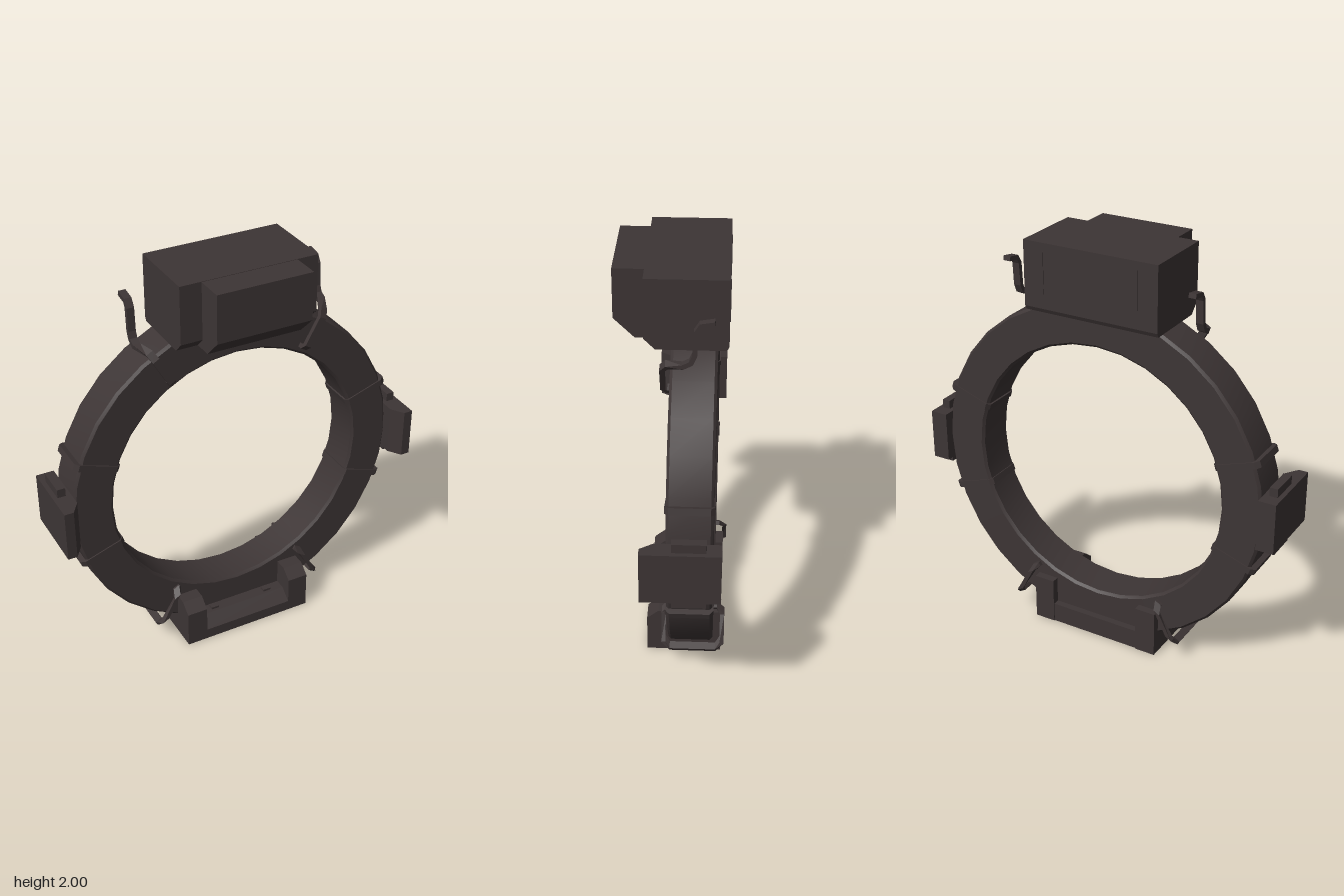
import * as THREE from 'three';
import { toCreasedNormals } from 'three/addons/utils/BufferGeometryUtils.js';

const CY = 0.885; // height of the ring centre
const RING_Z = -0.1; // middle of the ring's depth

export function createModel() {
  const model = new THREE.Group();
  model.name = 'ringFrame';
  const darkMetal = new THREE.MeshStandardMaterial({ color: 0x3d3535 });
  darkMetal.name = 'darkMetal';

  const add = (name, geometry) => {
    const mesh = new THREE.Mesh(geometry, darkMetal);
    mesh.name = name;
    model.add(mesh);
    return mesh;
  };
  const extrude = (pts, depth) => new THREE.ExtrudeGeometry(
    new THREE.Shape(pts.map(([a, b]) => new THREE.Vector2(a, b))),
    { depth, bevelEnabled: false }).translate(0, 0, -depth / 2);
  // side profile of [z, y] points, extruded across x
  const sideProfile = (name, pts, width, x = 0) =>
    add(name, extrude(pts, width).rotateY(-Math.PI / 2).translate(x, 0, 0));
  // plan outline of [x, z] points, extruded upwards
  const plan = (name, pts, height, y) =>
    add(name, extrude(pts.map(([x, z]) => [x, -z]), height).rotateX(-Math.PI / 2).translate(0, y, 0));
  const box = (name, w, h, d, x, y, z) =>
    add(name, new THREE.BoxGeometry(w, h, d).translate(x, y, z));

  // main ring with small bevels on its rims
  const b = 0.012, ri = 0.65, ro = 0.85, hz = 0.102;
  const section = [
    [ri + b, -hz], [ro - b, -hz], [ro, -hz + b], [ro, hz - b],
    [ro - b, hz], [ri + b, hz], [ri, hz - b], [ri, -hz + b], [ri + b, -hz],
  ].map(([r, z]) => new THREE.Vector2(r, z));
  add('ring', toCreasedNormals(
    new THREE.LatheGeometry(section, 32).rotateX(Math.PI / 2).translate(0, CY, RING_Z), 0.5));

  // top housing and its projecting front
  sideProfile('topHousing', [
    [-0.24, 1.67], [0.07, 1.67], [0.12, 1.72], [0.12, 2], [-0.25, 2], [-0.25, 1.69],
  ], 0.68);
  sideProfile('topHousingFront', [
    [0, 1.672], [0.165, 1.672], [0.26, 1.765], [0.26, 1.998], [0, 1.998],
  ], 0.47);

  // hollow foot: end posts joined by a front and a back rail
  for (const s of [-1, 1]) {
    sideProfile('footPost', [
      [-0.24, 0], [0.12, 0], [0.12, 0.19], [0.065, 0.235], [-0.24, 0.235],
    ], 0.105, s * 0.2875);
    box('footStud', 0.04, 0.012, 0.03, s * 0.15, 0.11, 0.03);
    box('housingSeam', 0.006, 0.2, 0.004, s * 0.24, 1.86, -0.251);
  }
  sideProfile('footFrontRail', [
    [0, 0], [0.12, 0], [0.12, 0.055], [0.06, 0.105], [0, 0.105],
  ], 0.48);
  sideProfile('footBackRail', [[-0.235, 0], [-0.19, 0], [-0.19, 0.1], [-0.235, 0.1]], 0.48);

  for (const s of [-1, 1]) {
    // side module with its backing plate
    plan('sideModule', [
      [0.843, -0.24], [0.93, -0.24], [0.93, 0.112], [0.885, 0.112], [0.843, 0.05],
    ].map(([x, z]) => [s * x, z]), 0.25, 0.885);
    box('sideModulePlate', 0.04, 0.335, 0.15, s * 0.888, 0.885, -0.1);

    // straps around the ring above and below each module
    for (const v of [-1, 1]) {
      const strap = add('strap', extrude([
        [0.64, -0.09], [0.658, -0.108], [0.85, -0.108], [0.872, -0.09],
        [0.872, 0.09], [0.85, 0.108], [0.658, 0.108], [0.64, 0.09],
      ], 0.032).rotateX(-Math.PI / 2));
      strap.position.set(0, CY, RING_Z);
      strap.rotation.z = Math.PI / 2 - s * (Math.PI / 2 - v * 0.325);
    }

    // lower handle: closed loop around the rim, [radius, z] in a radial plane
    const low = radial(s, -1.05);
    add('lowerHandle', sweepBar([
      [0.69, 0.01], [0.72, 0.036], [0.86, 0.036], [0.895, 0.005], [0.895, -0.215],
      [0.86, -0.246], [0.72, -0.246], [0.69, -0.22],
    ].map(([r, z]) => low.at(r, z)), low.side, true));

    // upper hook: stands off the face, then rises and turns back
    const up = radial(s, 1.05);
    const foot = [[0.69, -0.02], [0.69, 0.02], [0.705, 0.036], [0.855, 0.036], [0.885, 0.015]]
      .map(([r, z]) => up.at(r, z));
    const stem = [[1.667, -0.055], [1.685, -0.09], [1.72, -0.105], [1.83, -0.112], [1.86, -0.13], [1.87, -0.19]]
      .map(([y, z]) => new THREE.Vector3(s * 0.473, y, z));
    const across = new THREE.Vector3(-s, 0, 0);
    add('upperHook', sweepBar([...foot, ...stem],
      i => (i < foot.length ? up.side : across), false));
  }
  return model;
}

// radial plane through the ring axis, mirrored by s
function radial(s, angle) {
  const c = Math.cos(angle) * s, n = Math.sin(angle);
  const sign = angle > 0 ? 1 : -1;
  return {
    at: (r, z) => new THREE.Vector3(c * r, CY + n * r, z),
    side: new THREE.Vector3(-n * s * sign, Math.abs(c) * sign, 0).multiplyScalar(angle > 0 ? 1 : -1)
      .multiply(new THREE.Vector3(angle > 0 ? 1 : -1, 1, 1)),
  };
}

// flat bar swept along points; side gives the bar's width direction
function sweepBar(points, side, closed, halfWidth = 0.018, halfThick = 0.011) {
  const n = points.length, out = [];
  const rings = points.map((p, i) => {
    const prev = closed ? points[(i + n - 1) % n] : points[Math.max(i - 1, 0)];
    const next = closed ? points[(i + 1) % n] : points[Math.min(i + 1, n - 1)];
    const w = typeof side === 'function' ? side(i) : side;
    const normal = next.clone().sub(prev).cross(w).normalize();
    return [[1, 1], [-1, 1], [-1, -1], [1, -1]].map(([a, c]) =>
      p.clone().addScaledVector(w, a * halfWidth).addScaledVector(normal, c * halfThick));
  });
  const quad = (a, b, c, d) => [a, b, c, a, c, d].forEach(v => out.push(v.x, v.y, v.z));
  for (let i = 0; i < (closed ? n : n - 1); i++) {
    const A = rings[i], B = rings[(i + 1) % n];
    for (let k = 0; k < 4; k++) quad(A[k], A[(k + 1) % 4], B[(k + 1) % 4], B[k]);
  }
  if (!closed) {
    const A = rings[0], B = rings[n - 1];
    quad(A[0], A[3], A[2], A[1]);
    quad(B[0], B[1], B[2], B[3]);
  }
  const g = new THREE.BufferGeometry();
  g.setAttribute('position', new THREE.Float32BufferAttribute(out, 3));
  g.computeVertexNormals();
  return g;
}
